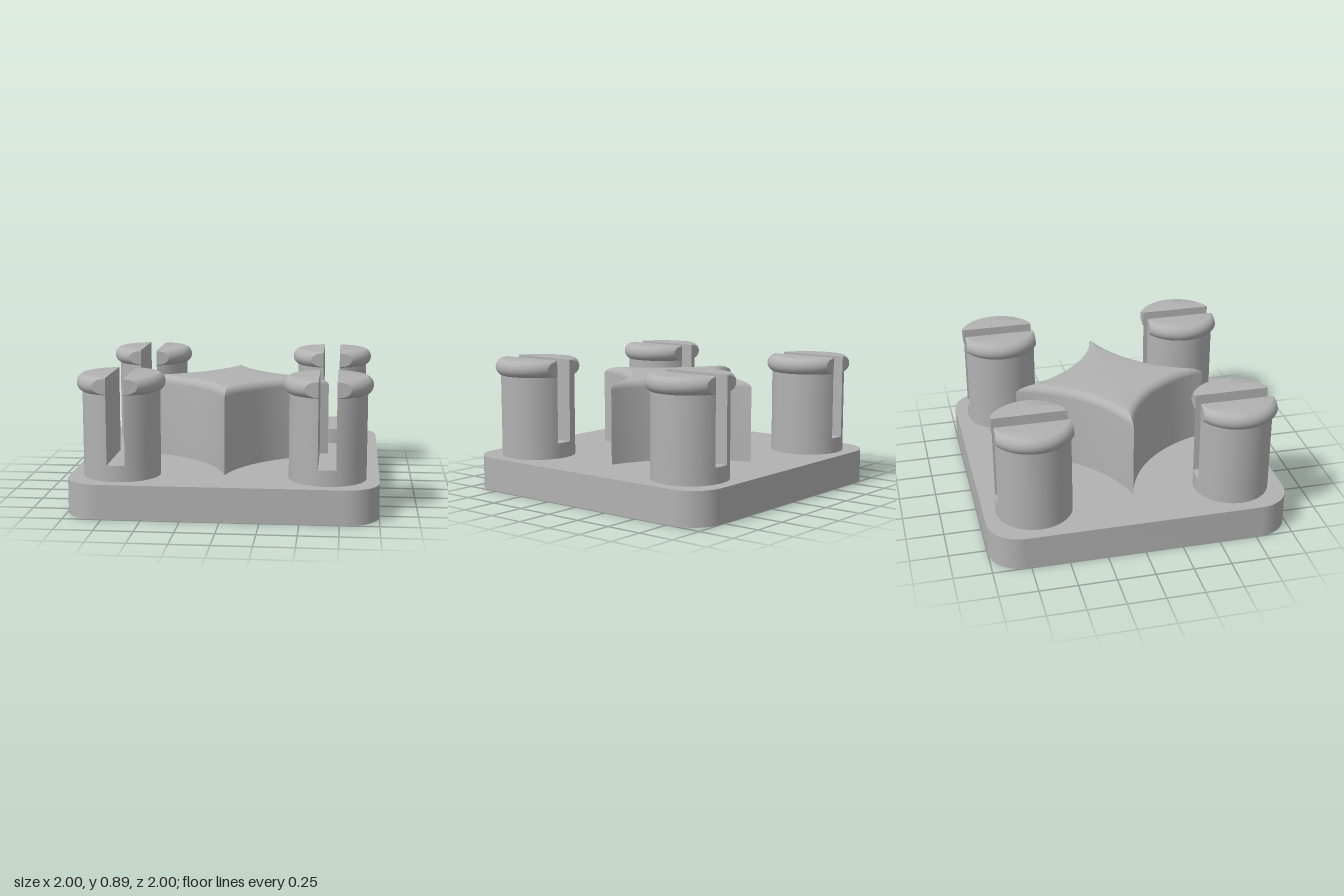
import * as THREE from 'three';
import { toCreasedNormals } from 'three/addons/utils/BufferGeometryUtils.js';

const BASE_TOP = 0.225, SLOT_FLOOR = 0.33, POST_R = 0.25, SLOT_HALF = 0.058;
const FLAT_Z = 0.245, POST_POS = 0.667;

// Skin a stack of rings ({ y, pts: [[x, z], ...] }, turning from +x to +z) and close both ends.
function loft(rings) {
  const pos = [];
  const tri = (...v) => v.forEach((p) => pos.push(...p));
  const at = (r, i) => { const p = r.pts[i % r.pts.length]; return [p[0], r.y, p[1]]; };
  const middle = (r) => {
    const s = r.pts.reduce((a, p) => [a[0] + p[0], a[1] + p[1]], [0, 0]);
    return [s[0] / r.pts.length, r.y, s[1] / r.pts.length];
  };
  const n = rings[0].pts.length, first = rings[0], last = rings[rings.length - 1];
  for (let i = 0; i < n; i++) {
    for (let k = 0; k < rings.length - 1; k++) {
      const a = rings[k], b = rings[k + 1];
      tri(at(a, i), at(b, i), at(a, i + 1));
      tri(at(a, i + 1), at(b, i), at(b, i + 1));
    }
    tri(middle(last), at(last, i + 1), at(last, i));
    tri(middle(first), at(first, i), at(first, i + 1));
  }
  const g = new THREE.BufferGeometry();
  g.setAttribute('position', new THREE.Float32BufferAttribute(pos, 3));
  return toCreasedNormals(g, 0.5);
}

// Plate with rounded corners
function plateGeometry() {
  const r = 0.22, s = new THREE.Shape();
  s.absarc(1 - r, 1 - r, r, 0, Math.PI / 2);
  s.absarc(r - 1, 1 - r, r, Math.PI / 2, Math.PI);
  s.absarc(r - 1, r - 1, r, Math.PI, Math.PI * 1.5);
  s.absarc(1 - r, r - 1, r, Math.PI * 1.5, Math.PI * 2);
  s.closePath();
  const g = new THREE.ExtrudeGeometry(s, { depth: BASE_TOP, bevelEnabled: false, curveSegments: 16 });
  g.rotateX(-Math.PI / 2);
  return toCreasedNormals(g, 0.5);
}

// One prong: a round section cut by the slot on the inside and flats at both z ends
function prongRing(r, y) {
  const zc = Math.min(FLAT_Z, Math.sqrt(r * r - SLOT_HALF * SLOT_HALF));
  const a = Math.asin(zc / r), pts = [[SLOT_HALF, -zc]], n = 28;
  for (let i = 0; i <= n; i++) {
    const t = -a + (2 * a * i) / n;
    pts.push([r * Math.cos(t), r * Math.sin(t)]);
  }
  pts.push([SLOT_HALF, zc]);
  return { y, pts };
}

function prongGeometry() {
  const rings = [prongRing(POST_R, SLOT_FLOOR), prongRing(POST_R, 0.78)];
  const end = Math.asin(0.055 / 0.06);
  for (let i = 0; i <= 12; i++) { // bulging lip
    const t = -end + (2 * end * i) / 12;
    rings.push(prongRing(0.225 + 0.06 * Math.cos(t), 0.835 + 0.06 * Math.sin(t)));
  }
  return loft(rings);
}

// Four concave arcs meeting in points; d moves the outline inwards
function starRing(d, y) {
  const c = 0.861, R = 0.885 + d, n = 20, pts = [];
  const a0 = Math.asin(c / R), sweep = 2 * a0 - Math.PI / 2;
  for (let q = 0; q < 4; q++) {
    const co = Math.cos(q * Math.PI / 2), si = Math.sin(q * Math.PI / 2);
    for (let i = 0; i < n; i++) {
      const t = a0 - (sweep * i) / n;
      const x = c - R * Math.cos(t), z = c - R * Math.sin(t);
      pts.push([x * co - z * si, x * si + z * co]);
    }
  }
  return { y, pts };
}

function starGeometry() {
  const f = 0.055, top = 0.78, rings = [starRing(0, BASE_TOP)];
  for (let i = 0; i <= 8; i++) { // rounded top edge
    const t = (i / 8) * Math.PI / 2;
    rings.push(starRing(f * (1 - Math.cos(t)), top - f + f * Math.sin(t)));
  }
  return loft(rings);
}

export function createModel() {
  const grey = new THREE.MeshStandardMaterial({ color: 0xb2b2b2 });
  grey.name = 'grey';
  const model = new THREE.Group();
  model.name = 'connectorBlock';
  const add = (parent, geometry, name) => {
    const m = new THREE.Mesh(geometry, grey);
    m.name = name;
    parent.add(m);
    return m;
  };

  add(model, plateGeometry(), 'basePlate');
  add(model, starGeometry(), 'centreStar');

  // Four slotted snap posts
  const prong = prongGeometry();
  const h = SLOT_FLOOR - BASE_TOP;
  const foot = new THREE.CylinderGeometry(POST_R, POST_R, h, 56);
  for (const [sx, side] of [[1, 'Left'], [-1, 'Right']]) {
    for (const [sz, end] of [[1, 'front'], [-1, 'back']]) {
      const post = new THREE.Group();
      post.name = end + side + 'Post';
      post.position.set(sx * POST_POS, 0, sz * POST_POS);
      add(post, foot, 'postFoot').position.y = BASE_TOP + h / 2;
      add(post, prong, 'leftProng');
      add(post, prong, 'rightProng').rotation.y = Math.PI;
      model.add(post);
    }
  }
  return model;
}
